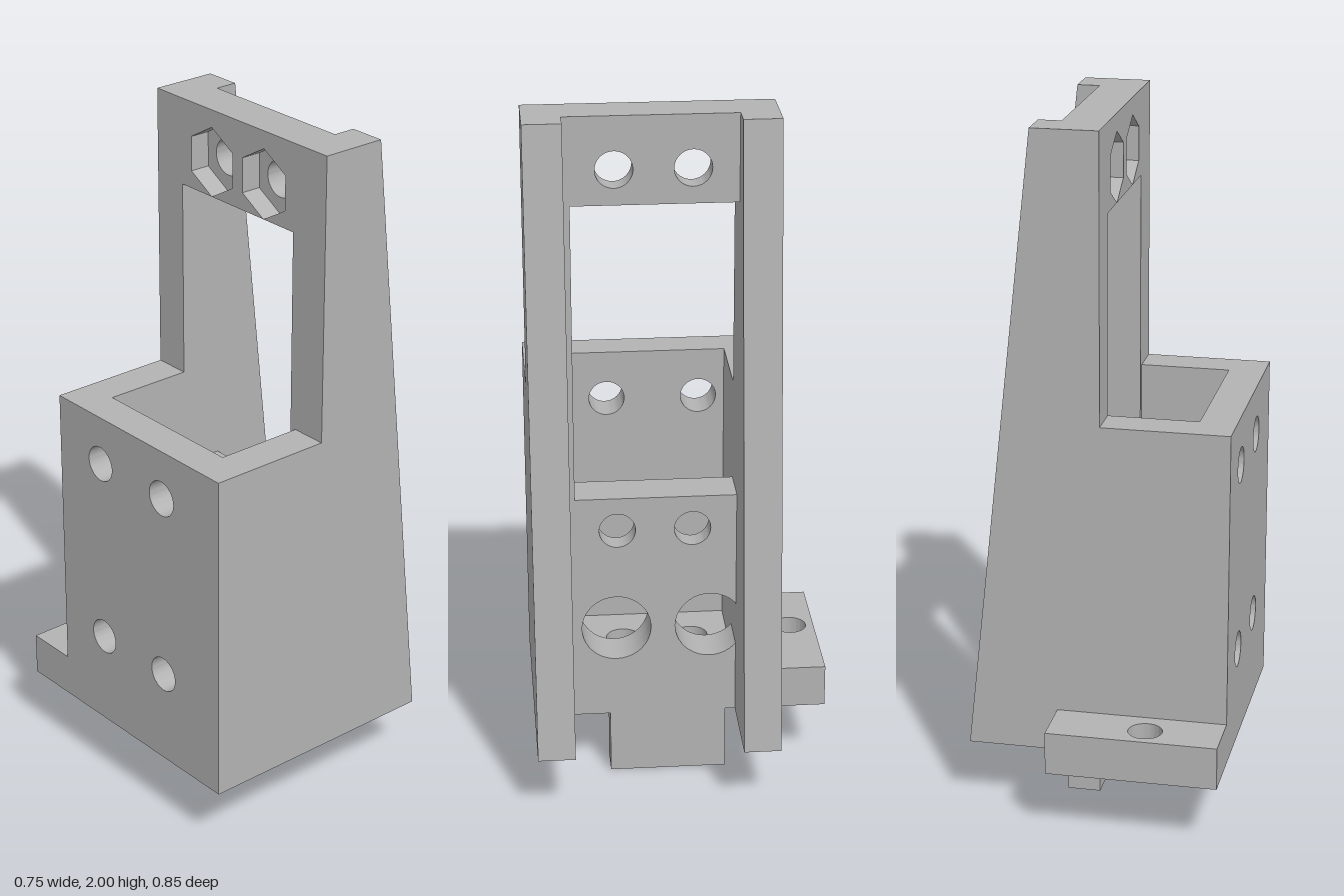
import * as THREE from 'three';
import { toCreasedNormals } from 'three/addons/utils/BufferGeometryUtils.js';

const grey = new THREE.MeshStandardMaterial({ color: 0xb3b3b3 });
grey.name = 'plain grey';

// Regular outline: many sides for a round hole, six for a nut pocket (point up)
function ring(u, v, r, sides = 40) {
  const pts = [];
  for (let i = 0; i < sides; i++) {
    const a = Math.PI / 2 + (i / sides) * Math.PI * 2;
    pts.push(new THREE.Vector2(u + r * Math.cos(a), v + r * Math.sin(a)));
  }
  return new THREE.Path(pts);
}

function slab(points, holes, depth) {
  const shape = new THREE.Shape(points.map(([u, v]) => new THREE.Vector2(u, v)));
  shape.holes.push(...holes);
  const geo = new THREE.ExtrudeGeometry(shape, { depth, bevelEnabled: false });
  return toCreasedNormals(geo, 0.5);
}

const rect = (u0, u1, v0, v1) => [[u0, v0], [u1, v0], [u1, v1], [u0, v1]];

export function createModel() {
  const group = new THREE.Group();
  const add = (name, geo) => {
    const mesh = new THREE.Mesh(geo, grey);
    mesh.name = name;
    group.add(mesh);
  };
  // Slabs drawn in (-z, y) and pushed along x
  const alongX = (name, pts, holes, x0, x1) =>
    add(name, slab(pts, holes, x1 - x0).rotateY(Math.PI / 2).translate(x0, 0, 0));
  // Slabs drawn in (x, -z) and pushed along y
  const alongY = (name, pts, holes, y0, y1) =>
    add(name, slab(pts, holes, y1 - y0).rotateX(-Math.PI / 2).translate(0, y0, 0));

  // Tapered side walls
  const side = [[-0.375, 0.19], [0.375, 0.19], [0.18, 2], [-0.01, 2], [-0.01, 1.175], [-0.375, 1.175]];
  for (const [name, z0, z1] of [['frontSideWall', 0.32, 0.427], ['backSideWall', -0.268, -0.161]]) {
    add(name, slab(side, [], z1 - z0).translate(0, 0, z0));
  }

  // Upright plate with a tall window, nut pockets behind round holes, and access bores
  const plate = [[-0.32, 0.19], [0.2, 0.19], [0.2, 0.88], [-0.3, 0.88], [-0.3, 1.75], [0.161, 1.75], [0.161, 2], [-0.32, 2]];
  const plateHoles = (r, sides) => [
    ...[0.78, 1.85].flatMap((y) => [-0.18, 0.035].map((u) => ring(u, y, r, sides))),
    ...[-0.185, 0.085].map((u) => ring(u, 0.47, 0.1)),
  ];
  alongX('uprightPlateNutSide', plate, plateHoles(0.1, 6), -0.01, 0.05);
  alongX('uprightPlateFace', plate, plateHoles(0.052, 40), 0.05, 0.115);

  // Rear mounting wall with four screw holes
  const wallHoles = [0.47, 1.03].flatMap((y) => [-0.185, 0.085].map((u) => ring(u, y, 0.052)));
  alongX('mountingWall', rect(-0.32, 0.161, 0.19, 1.175), wallHoles, -0.375, -0.27);

  // Pocket floor with two holes
  alongY('pocketFloor', rect(-0.27, -0.01, -0.32, 0.161),
    [ring(-0.125, 0.052, 0.049), ring(-0.125, -0.152, 0.049)], 0.19, 0.315);

  // Side foot with one hole
  alongY('sideFoot', rect(-0.375, 0.115, 0.268, 0.427), [ring(-0.158, 0.355, 0.049)], 0.19, 0.315);

  // Locating tongue underneath
  add('bottomTongue', new THREE.BoxGeometry(0.095, 0.19, 0.337).translate(0.0675, 0.095, 0.037));

  return group;
}
